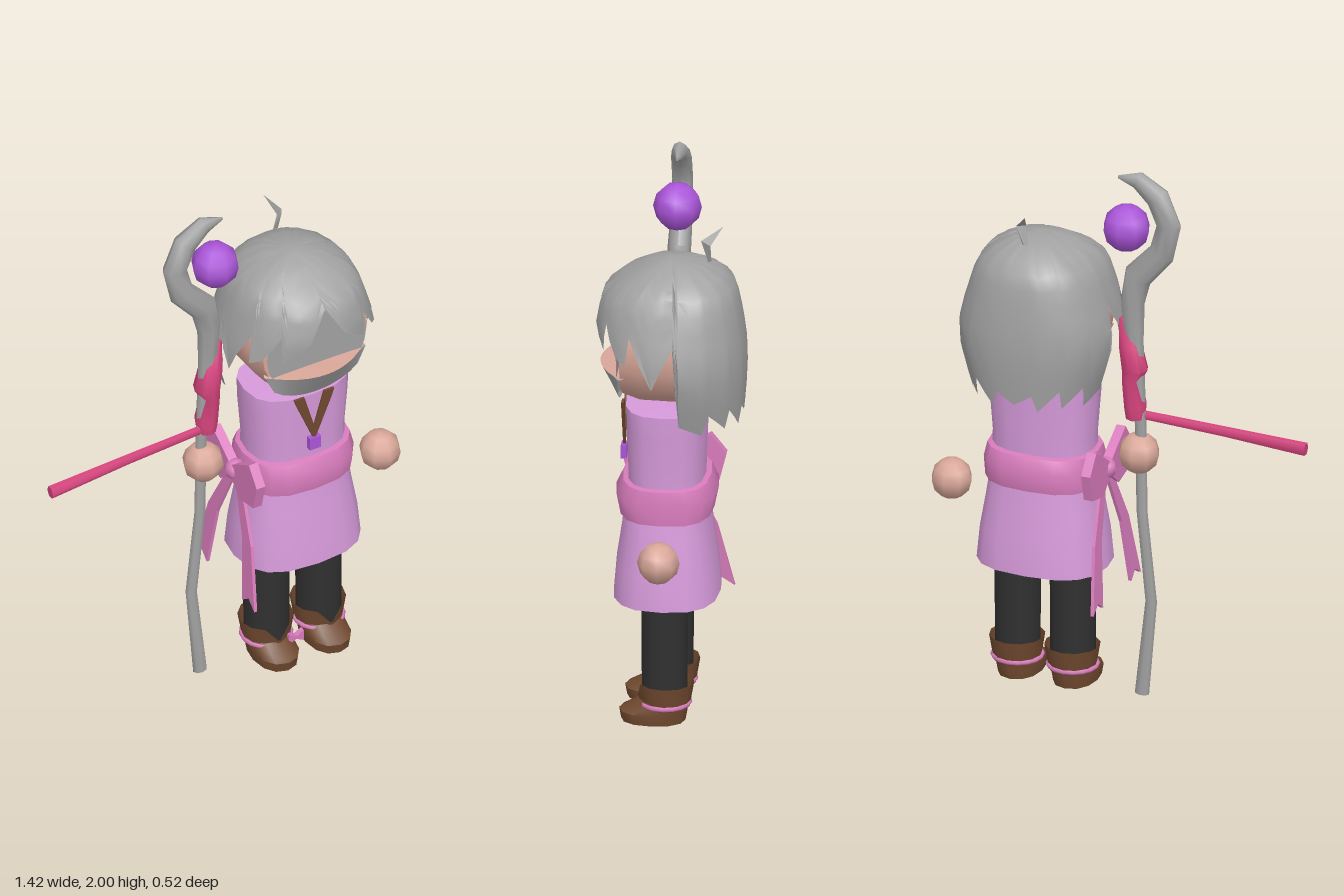
import * as THREE from 'three';
import { toCreasedNormals } from 'three/addons/utils/BufferGeometryUtils.js';

const mat = (name, color) => {
  const m = new THREE.MeshStandardMaterial({ color, side: THREE.DoubleSide });
  m.name = name;
  return m;
};

// Skin a list of point rings into one surface
function grid(rings, closed = true, crease = 0.8) {
  const n = rings[0].length, index = [];
  for (let r = 0; r < rings.length - 1; r++) {
    for (let i = 0; i < (closed ? n : n - 1); i++) {
      const j = (i + 1) % n, a = r * n + i, b = r * n + j;
      index.push(a, b, a + n, b, b + n, a + n);
    }
  }
  const g = new THREE.BufferGeometry();
  g.setAttribute('position', new THREE.Float32BufferAttribute(rings.flat(2), 3));
  g.setIndex(index);
  return toCreasedNormals(g, crease);
}

const pw = (v, e) => Math.sign(v) * Math.abs(v) ** e;

// Horizontal rounded sections [y, cx, cz, rx, rz], dip lowers the front point of the top ring
function loft(sections, n = 16, e = 0.75, dip = 0) {
  return grid(sections.map(([y, cx, cz, rx, rz], k) => Array.from({ length: n }, (_, i) => {
    const a = (i / n) * Math.PI * 2;
    const drop = i === 0 && k === sections.length - 1 ? dip : 0;
    return [cx + rx * pw(Math.sin(a), e), y - drop, cz + rz * pw(Math.cos(a), e)];
  })));
}

// Bent rod through points [x, y, z, radius] with closed ends
function rod(pts, n = 8, depth = 1) {
  const rings = pts.map(([x, y, z, r], k) => {
    const p = pts[Math.max(0, k - 1)], q = pts[Math.min(pts.length - 1, k + 1)];
    const l = Math.hypot(q[0] - p[0], q[1] - p[1]);
    const nx = (q[1] - p[1]) / l, ny = -(q[0] - p[0]) / l;
    return Array.from({ length: n }, (_, i) => {
      const a = (i / n) * Math.PI * 2, s = Math.sin(a) * r;
      return [x + nx * s, y + ny * s, z + Math.cos(a) * r * depth];
    });
  });
  const cap = (p) => Array.from({ length: n }, () => p.slice(0, 3));
  return grid([cap(pts[0]), ...rings, cap(pts[pts.length - 1])], true, 1);
}

function plate(points, depth) {
  const shape = new THREE.Shape(points.map(([x, y]) => new THREE.Vector2(x, y)));
  return new THREE.ExtrudeGeometry(shape, { depth, bevelEnabled: false });
}

// Hair shell: outline profile [y, half width, front depth, back depth]
const HAIR = [[1.72, 0, 0, 0], [1.7, 0.1, 0.08, 0.13], [1.65, 0.19, 0.17, 0.21], [1.6, 0.225, 0.235, 0.23],
  [1.5, 0.255, 0.265, 0.25], [1.4, 0.285, 0.255, 0.262], [1.3, 0.28, 0.24, 0.265], [1.1, 0.22, 0.2, 0.25]];
// Hem height against angle from the front
const HEM = [[0, 1.6], [12, 1.49], [32, 1.42], [37, 1.52], [50, 1.42], [60, 1.4], [65, 1.5], [82, 1.32],
  [94, 1.47], [98, 1.17], [116, 1.13], [122, 1.21], [140, 1.14], [145, 1.21], [162, 1.13], [168, 1.19], [180, 1.15]];

function hairGeometry() {
  const half = HEM.flatMap(([d, h], i) => {
    const nx = HEM[i + 1];
    return nx ? [[d, h], [(d + nx[0]) / 2, (h + nx[1]) / 2]] : [[d, h]];
  });
  const all = [...half, ...half.slice(1, -1).reverse().map(([d, h]) => [360 - d, h])];
  const at = (y) => {
    const k = Math.min(HAIR.length - 2, Math.max(0, HAIR.findIndex((p) => p[0] <= y) - 1));
    const t = (HAIR[k][0] - y) / (HAIR[k][0] - HAIR[k + 1][0]);
    return HAIR[k].map((v, i) => v + (HAIR[k + 1][i] - v) * t);
  };
  const rings = [];
  for (let r = 10; r >= 0; r--) {
    rings.push(all.map(([d, h]) => {
      const a = (d * Math.PI) / 180, y = 1.72 - (1.72 - h) * (r / 10) ** 1.5;
      const [, w, f, b] = at(y), c = Math.cos(a);
      return [0.28 + w * pw(Math.sin(a), 0.85), y, (c > 0 ? f : b) * pw(c, 0.85)];
    }));
  }
  return grid(rings, true, 1);
}

export function createModel() {
  const model = new THREE.Group();
  const grey = mat('hair grey', 0xa2a2a2), skin = mat('skin', 0xd8a698), lilac = mat('dress lilac', 0xd69ada);
  const pink = mat('sash pink', 0xd87cbc), crimson = mat('crimson cloth', 0xd8457f), purple = mat('orb purple', 0xaa55d8);
  const brown = mat('leather brown', 0x70492f), black = mat('trouser black', 0x303030);
  const add = (name, geo, m, x = 0, y = 0, z = 0) => {
    const mesh = new THREE.Mesh(geo, m);
    mesh.name = name;
    mesh.position.set(x, y, z);
    model.add(mesh);
    return mesh;
  };

  // Head, rounded from the front and flat-faced from the side
  const profile = [[0, -0.17], [0.19, -0.15], [0.235, -0.03], [0.232, 0.1], [0.21, 0.165], [0, 0.172]];
  const head = new THREE.LatheGeometry(profile.map((p) => new THREE.Vector2(...p)), 24).rotateX(Math.PI / 2);
  add('head', toCreasedNormals(head, 0.8), skin, 0.28, 1.42, 0);
  add('facePlate', new THREE.CircleGeometry(0.2, 24), grey, 0.28, 1.41, 0.177);

  // Jutting lower face: skin ledge above a sloping grey front
  const us = Array.from({ length: 13 }, (_, i) => -1 + i / 6);
  const outer = us.map((u) => [0.28 + 0.2 * u, 1.325, 0.25 - 0.09 * u * u]);
  const inner = us.map((u) => [0.28 + 0.2 * u, 1.33, 0.15]);
  const lower = us.map((u) => [0.28 + 0.2 * u, 1.325 - 0.125 * Math.sqrt(1 - u * u), 0.172]);
  add('faceLedge', grid([outer, inner], false), skin);
  add('lowerFace', grid([lower, outer], false), grey);

  // Hair and stray tuft
  add('hair', hairGeometry(), grey);
  add('hairTuft', grid([
    [[0.29, 1.71, -0.14], [0.3, 1.71, -0.13], [0.28, 1.71, -0.13]],
    [[0.32, 1.78, -0.14], [0.3, 1.79, -0.105], [0.29, 1.78, -0.12]],
    [[0.27, 1.835, -0.18], [0.27, 1.835, -0.18], [0.27, 1.835, -0.18]],
  ]), grey);

  // Dress and sash
  const cx = 0.275, cz = 0.015;
  add('bodice', loft([[0.84, cx, cz, 0.185, 0.135], [0.95, cx, cz, 0.182, 0.137], [1.1, cx, cz, 0.194, 0.143],
    [1.18, cx, cz, 0.196, 0.145], [1.185, cx, cz, 0, 0]]), lilac);
  add('skirt', loft([[0.46, cx, cz, 0.236, 0.188], [0.58, cx, cz, 0.225, 0.178], [0.7, cx, cz, 0.205, 0.16],
    [0.8, cx, cz, 0.19, 0.15]]), lilac);
  add('sash', loft([[0.77, cx, cz, 0.19, 0.15], [0.775, cx, cz, 0.206, 0.165], [0.85, cx, cz, 0.209, 0.18],
    [0.9, cx, cz, 0.2, 0.155], [0.905, cx, cz, 0.18, 0.13]]), pink);

  // Bow on the right hip, two loops and two forked tails
  for (const s of [1, -1]) {
    const side = (pts, depth) => plate(pts.map(([u, v]) => [u * s, v]), depth).rotateY(-Math.PI / 2);
    add('bowLoop', side([[0, -0.025], [0.07, -0.08], [0.16, -0.06], [0.185, 0.04], [0.13, 0.11], [0.05, 0.06], [0, 0.025]], 0.035),
      pink, 0.06, 0.84, cz);
    const tail = add('bowTail', side([[0, 0], [0.04, 0], [0.15, -0.22], [0.21, -0.46], [0.165, -0.43], [0.125, -0.46], [0.09, -0.22]], 0.012),
      pink, 0.052, 0.82, cz);
    tail.rotation.z = -0.085;
  }
  add('bowKnot', new THREE.SphereGeometry(0.04, 8, 6), pink, 0.045, 0.84, cz);

  // Neck strap and pendant
  for (const s of [1, -1]) {
    add('neckStrap', plate([[0, 0], [s * 0.07, 0.17], [s * 0.08, 0.2], [s * 0.04, 0.2], [0, 0.06]], 0.009), brown, 0.275, 0.985, 0.162);
  }
  add('pendant', new THREE.BoxGeometry(0.045, 0.05, 0.02), purple, 0.275, 0.975, 0.168);

  // Legs, boots and anklets
  for (const x of [0.17, 0.38]) {
    add('leg', new THREE.CylinderGeometry(0.083, 0.08, 0.5, 12), black, x, 0.33, 0.015);
    add('foot', loft([[0, x, 0.055, 0, 0], [0.002, x, 0.055, 0.076, 0.113], [0.04, x, 0.055, 0.082, 0.12],
      [0.06, x, 0.035, 0.08, 0.1], [0.085, x, 0.015, 0.078, 0.085]], 12, 0.9), brown);
    add('bootCuff', loft([[0.055, x, 0.012, 0.083, 0.085], [0.15, x, 0.01, 0.099, 0.099]], 12, 1, 0.06), brown);
    const ring = add('anklet', new THREE.TorusGeometry(0.087, 0.009, 6, 16), pink, x, 0.072, 0.014);
    ring.rotation.x = Math.PI / 2;
  }
  for (const s of [1, -1]) {
    add('ankletBow', plate([[0, -0.006], [s * 0.03, -0.022], [s * 0.03, 0.022], [0, 0.006]], 0.02), pink, 0.24, 0.078, 0.085);
  }

  // Loose round hands
  for (const [x, y] of [[-0.083, 0.922], [0.63, 0.7]]) {
    add('hand', new THREE.SphereGeometry(0.075, 8, 6), skin, x, y, 0.012);
  }

  // Crooked staff with floating orb
  add('staff', rod([[-0.095, 0.005, 0.01, 0.027], [-0.13, 0.36, 0.01, 0.022], [-0.095, 0.7, 0.01, 0.021], [-0.09, 1.03, 0.01, 0.022],
    [-0.065, 1.35, 0.01, 0.036], [-0.06, 1.5, 0.01, 0.045], [-0.08, 1.6, 0.01, 0.052], [-0.17, 1.7, 0.01, 0.048],
    [-0.197, 1.81, 0.01, 0.046], [-0.155, 1.91, 0.01, 0.046], [-0.08, 1.965, 0.01, 0.034], [-0.005, 1.965, 0.01, 0.006]], 8, 0.8), grey);
  add('orb', new THREE.SphereGeometry(0.086, 8, 6), purple, -0.035, 1.775, 0.012);

  // Cloth wound round the staff with a streamer
  add('staffWrap', rod([[-0.02, 1.43, 0.01, 0.012], [-0.05, 1.33, 0.01, 0.042], [-0.068, 1.24, 0.01, 0.048], [-0.055, 1.2, 0.01, 0.036],
    [-0.07, 1.1, 0.01, 0.042], [-0.07, 1.055, 0.01, 0.035]], 8, 1.05), crimson);
  add('streamer', rod([[-0.05, 1.07, 0.015, 0.016], [-0.4, 1.055, 0.022, 0.019], [-0.71, 1.037, 0.03, 0.025]], 6, 0.8), crimson);
  return model;
}
